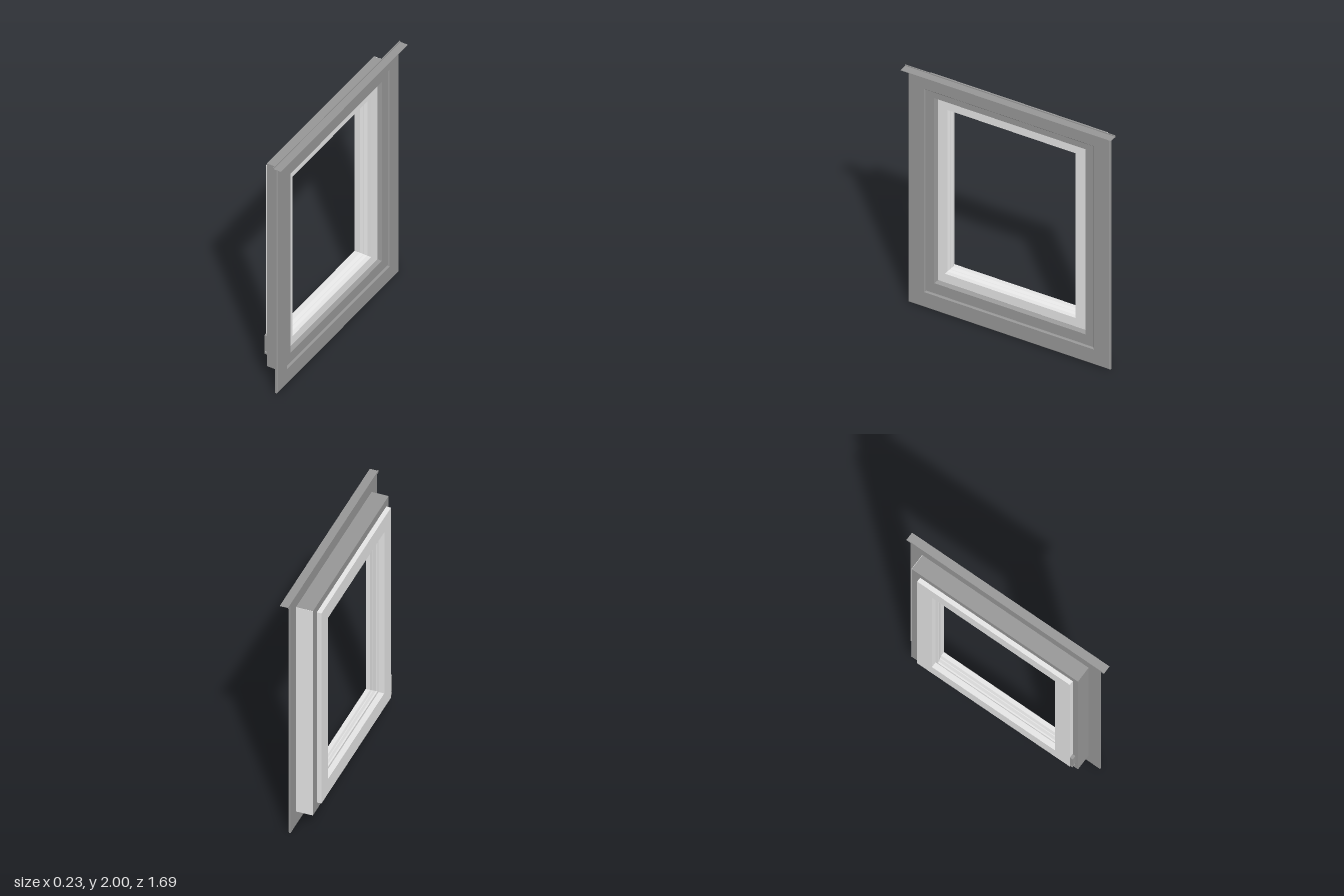
import * as THREE from 'three';

const frameGrey = new THREE.MeshStandardMaterial({ color: 0x96, name: 'frame grey' });
frameGrey.color.setHex(0x969696);
const sashGrey = new THREE.MeshStandardMaterial({ color: 0xe4e4e4, name: 'sash light grey' });

// Sweeps a closed profile of [x, outward offset] points round a mitred rectangle in the zy plane.
function mitredRing(name, material, { z, y, halfZ, halfY }, profile) {
  const corners = [[-1, -1], [1, -1], [1, 1], [-1, 1]];
  const at = ([x, o], [sz, sy]) => [x, y + sy * (halfY + o), z + sz * (halfZ + o)];
  const positions = [];
  corners.forEach((c0, k) => {
    const c1 = corners[(k + 1) % 4];
    profile.forEach((p0, i) => {
      const p1 = profile[(i + 1) % profile.length];
      const a = at(p0, c0), b = at(p1, c0), c = at(p1, c1), d = at(p0, c1);
      positions.push(...a, ...b, ...c, ...a, ...c, ...d);
    });
  });
  const geometry = new THREE.BufferGeometry();
  geometry.setAttribute('position', new THREE.Float32BufferAttribute(positions, 3));
  geometry.computeVertexNormals();
  const mesh = new THREE.Mesh(geometry, material);
  mesh.name = name;
  return mesh;
}

function box(name, material, size, position) {
  const mesh = new THREE.Mesh(new THREE.BoxGeometry(...size), material);
  mesh.position.set(...position);
  mesh.name = name;
  return mesh;
}

export function createModel() {
  const model = new THREE.Group();
  model.name = 'window';

  // Flat outer casing with softened edges
  model.add(mitredRing('casing', frameGrey, { z: 0, y: 0.996, halfZ: 0.812, halfY: 0.994 }, [
    [0.047, 0], [0.058, 0], [0.065, -0.008], [0.065, -0.129], [0.058, -0.137], [0.047, -0.137],
  ]));

  // Deep box frame behind the casing, with a sloped stop meeting the sash
  model.add(mitredRing('frame', frameGrey, { z: 0.003, y: 1.011, halfZ: 0.711, halfY: 0.89 }, [
    [-0.08, 0], [0.05, 0], [0.05, -0.103], [0.025, -0.118], [-0.08, -0.118],
  ]));

  // Light facing on the hinge side of the frame
  model.add(box('frameSideFacing', sashGrey, [0.13, 1.78, 0.003], [-0.015, 1.011, -0.709]));

  // Sash: rear lip overlapping the frame, body and stepped glazing bead
  model.add(mitredRing('sash', sashGrey, { z: 0.0165, y: 1.012, halfZ: 0.508, halfY: 0.684 }, [
    [-0.115, 0.145], [-0.08, 0.145], [-0.08, 0.107], [0.022, 0.107], [0.022, 0.016],
    [-0.01, 0.016], [-0.03, 0.008], [-0.036, 0.008], [-0.06, 0], [-0.072, 0],
    [-0.072, 0.019], [-0.115, 0.019],
  ]));

  // Drip cap: upright leg and thin projecting ledge
  const dripCap = new THREE.Group();
  dripCap.name = 'dripCap';
  dripCap.add(box('dripCapLeg', frameGrey, [0.006, 0.018, 1.69], [0.05, 1.991, 0]));
  dripCap.add(box('dripCapLedge', frameGrey, [0.062, 0.004, 1.69], [0.082, 1.99, 0]));
  model.add(dripCap);

  // Handle on the sash edge: plate and a turned knob below it
  const handle = new THREE.Group();
  handle.name = 'handle';
  handle.add(box('handlePlate', frameGrey, [0.032, 0.135, 0.03], [-0.098, 0.298, 0.679]));
  const knobProfile = [[0, -0.016], [0.015, -0.016], [0.018, -0.012], [0.018, 0.004],
    [0.012, 0.006], [0.012, 0.01], [0.016, 0.01], [0.016, 0.016], [0, 0.016]];
  const knob = new THREE.Mesh(
    new THREE.LatheGeometry(knobProfile.map(([r, h]) => new THREE.Vector2(r, h)), 20), frameGrey);
  knob.rotation.z = Math.PI / 2;
  knob.position.set(-0.098, 0.211, 0.678);
  knob.name = 'handleKnob';
  handle.add(knob);
  model.add(handle);

  return model;
}
